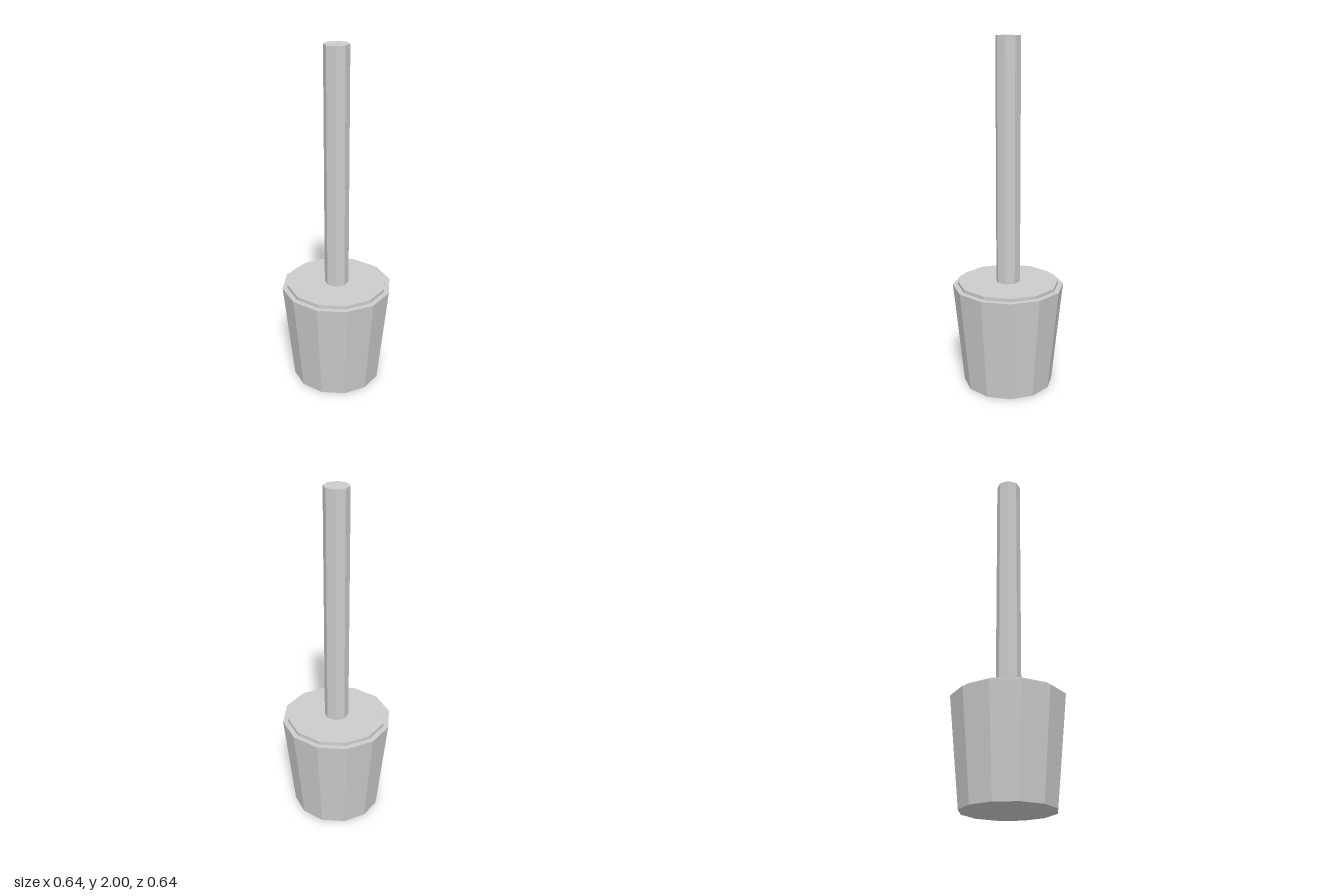
import * as THREE from 'three';

export function createModel() {
  const model = new THREE.Group();
  model.name = 'pottedPole';

  const grey = new THREE.MeshStandardMaterial({ color: 0xcccccc, flatShading: true });
  grey.name = 'grey';

  // Faceted upright cylinder standing between two heights
  function addPart(name, topRadius, bottomRadius, y0, y1, sides) {
    const geometry = new THREE.CylinderGeometry(topRadius, bottomRadius, y1 - y0, sides);
    const mesh = new THREE.Mesh(geometry, grey);
    mesh.name = name;
    mesh.position.y = (y0 + y1) / 2;
    model.add(mesh);
  }

  // Tapered pot
  addPart('pot', 0.32, 0.26, 0, 0.6, 12);
  // Thin raised disc filling the pot
  addPart('soil', 0.29, 0.29, 0.58, 0.62, 12);
  // Octagonal pole
  addPart('pole', 0.07, 0.07, 0.6, 2, 8);

  return model;
}
